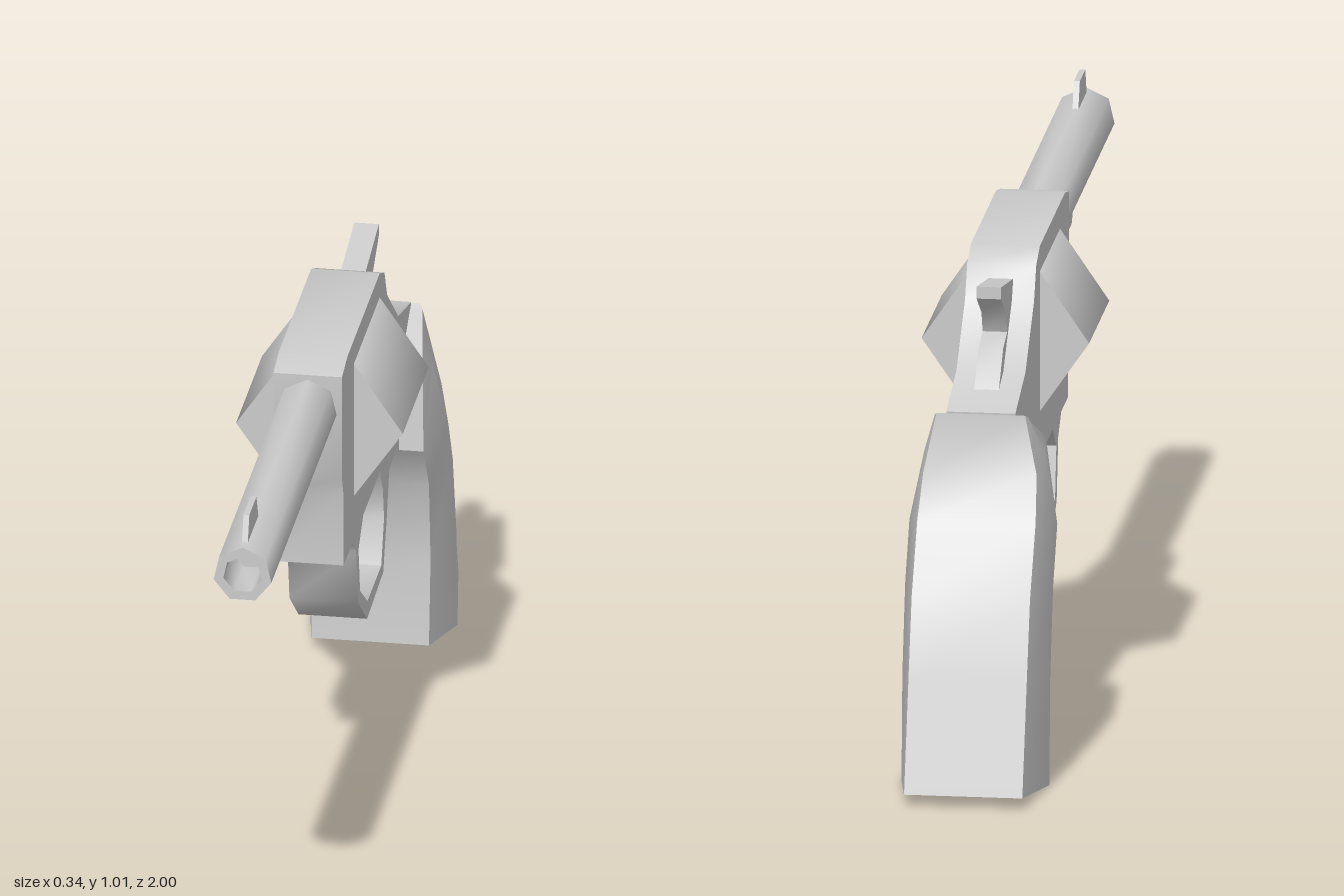
import * as THREE from 'three';
import { toCreasedNormals } from 'three/addons/utils/BufferGeometryUtils.js';

const grey = new THREE.MeshStandardMaterial({ color: 0xcccccc });

function part(name, geometry, crease) {
  const mesh = new THREE.Mesh(toCreasedNormals(geometry, crease), grey);
  mesh.name = name;
  return mesh;
}

const points = (list) => list.map(([u, v]) => new THREE.Vector2(u, v));

// Flat plate from a side profile of [z, y] points, centred on x = 0
function plate(name, profile, width, holes = [], crease = 0.75) {
  const shape = new THREE.Shape(points(profile));
  holes.forEach((h) => shape.holes.push(new THREE.Path(points(h))));
  const geo = new THREE.ExtrudeGeometry(shape, { depth: width, bevelEnabled: false });
  geo.translate(0, 0, -width / 2).rotateY(-Math.PI / 2);
  return part(name, geo, crease);
}

// Each section: front, middle and back corner as [half width, y, z], mirrored in x
function gripGeometry(sections) {
  const pos = [], index = [];
  sections.forEach(([f, m, b]) => {
    [f, m, b].forEach(([x, y, z]) => pos.push(x, y, z));
    [b, m, f].forEach(([x, y, z]) => pos.push(-x, y, z));
  });
  const quad = (a, b, c, d) => index.push(a, b, c, a, c, d);
  for (let s = 0; s < sections.length - 1; s++) {
    for (let i = 0; i < 6; i++) {
      const a = s * 6 + i, b = s * 6 + (i + 1) % 6;
      quad(a, b, b + 6, a + 6);
    }
  }
  const t = (sections.length - 1) * 6;
  quad(5, 4, 1, 0);
  quad(4, 3, 2, 1);
  quad(t, t + 1, t + 4, t + 5);
  quad(t + 1, t + 2, t + 3, t + 4);
  const geo = new THREE.BufferGeometry();
  geo.setAttribute('position', new THREE.Float32BufferAttribute(pos, 3));
  geo.setIndex(index);
  return geo;
}

export function createModel() {
  const model = new THREE.Group();
  model.name = 'revolver';

  // Frame with the trigger guard cut out of it
  const frame = [
    [0.17, 0.975], [0.1, 0.99], [-0.31, 0.99], [-0.37, 0.965], [-0.405, 0.9],
    [-0.545, 0.79], [-0.71, 0.748], [-0.7, 0.62], [-0.6, 0.52], [-0.555, 0.49],
    [-0.49, 0.51], [-0.43, 0.5], [-0.4, 0.41], [-0.355, 0.31], [-0.15, 0.298],
    [-0.035, 0.385], [-0.01, 0.51], [0.04, 0.55], [0.15, 0.55], [0.15, 0.705], [0.17, 0.75],
  ];
  const guardHole = [
    [-0.1, 0.55], [-0.04, 0.5], [-0.06, 0.4], [-0.155, 0.335],
    [-0.33, 0.335], [-0.365, 0.425], [-0.35, 0.495], [-0.315, 0.55],
  ];
  model.add(plate('frame', frame, 0.14, [guardHole]));

  // Trigger
  model.add(plate('trigger', [
    [-0.17, 0.57], [-0.205, 0.455], [-0.14, 0.36], [-0.17, 0.36],
    [-0.25, 0.44], [-0.315, 0.54], [-0.315, 0.57],
  ], 0.05));

  // Hammer with its spur
  model.add(plate('hammer', [
    [-0.385, 0.94], [-0.58, 0.975], [-0.58, 0.95], [-0.5, 0.9], [-0.48, 0.855],
    [-0.545, 0.84], [-0.62, 0.77], [-0.54, 0.76], [-0.38, 0.85],
  ], 0.05));

  // Six-sided cylinder
  const drum = new THREE.Shape(points([
    [0.17, 0.79], [0.07, 0.937], [-0.07, 0.937], [-0.17, 0.79], [-0.07, 0.645], [0.07, 0.645],
  ]));
  const drumGeo = new THREE.ExtrudeGeometry(drum, { depth: 0.33, bevelEnabled: false });
  model.add(part('cylinder', drumGeo.translate(0, 0, -0.31), 1.3));

  // Seven-sided barrel with a blind bore
  const barrel = new THREE.LatheGeometry(points([
    [0.0605, 0], [0.0605, 0.84], [0.04, 0.84], [0.04, 0.72], [0, 0.72],
  ]), 7, Math.PI);
  model.add(part('barrel', barrel.rotateX(Math.PI / 2).translate(0, 0.9045, 0.16), 1.0));

  // Rod housing below the barrel and the front sight above it
  model.add(plate('rodHousing', [
    [0.16, 0.865], [0.16, 0.798], [0.565, 0.798], [0.615, 0.85], [0.615, 0.865],
  ], 0.052));
  model.add(plate('frontSight', [
    [0.975, 0.95], [0.95, 1.015], [0.86, 1.015], [0.83, 0.95],
  ], 0.012));

  // Grip, from the butt up
  model.add(part('grip', gripGeometry([
    [[0.12, 0.03, -0.625], [0.15, 0, -0.8], [0.12, 0.025, -1]],
    [[0.12, 0.21, -0.645], [0.15, 0.22, -0.785], [0.12, 0.24, -0.93]],
    [[0.12, 0.385, -0.625], [0.15, 0.395, -0.74], [0.12, 0.405, -0.875]],
    [[0.12, 0.49, -0.555], [0.15, 0.51, -0.67], [0.12, 0.54, -0.783]],
    [[0.115, 0.665, -0.575], [0.122, 0.65, -0.65], [0.115, 0.625, -0.725]],
    [[0.09, 0.735, -0.69], [0.095, 0.738, -0.7], [0.09, 0.745, -0.712]],
  ]), 0.6));

  return model;
}
